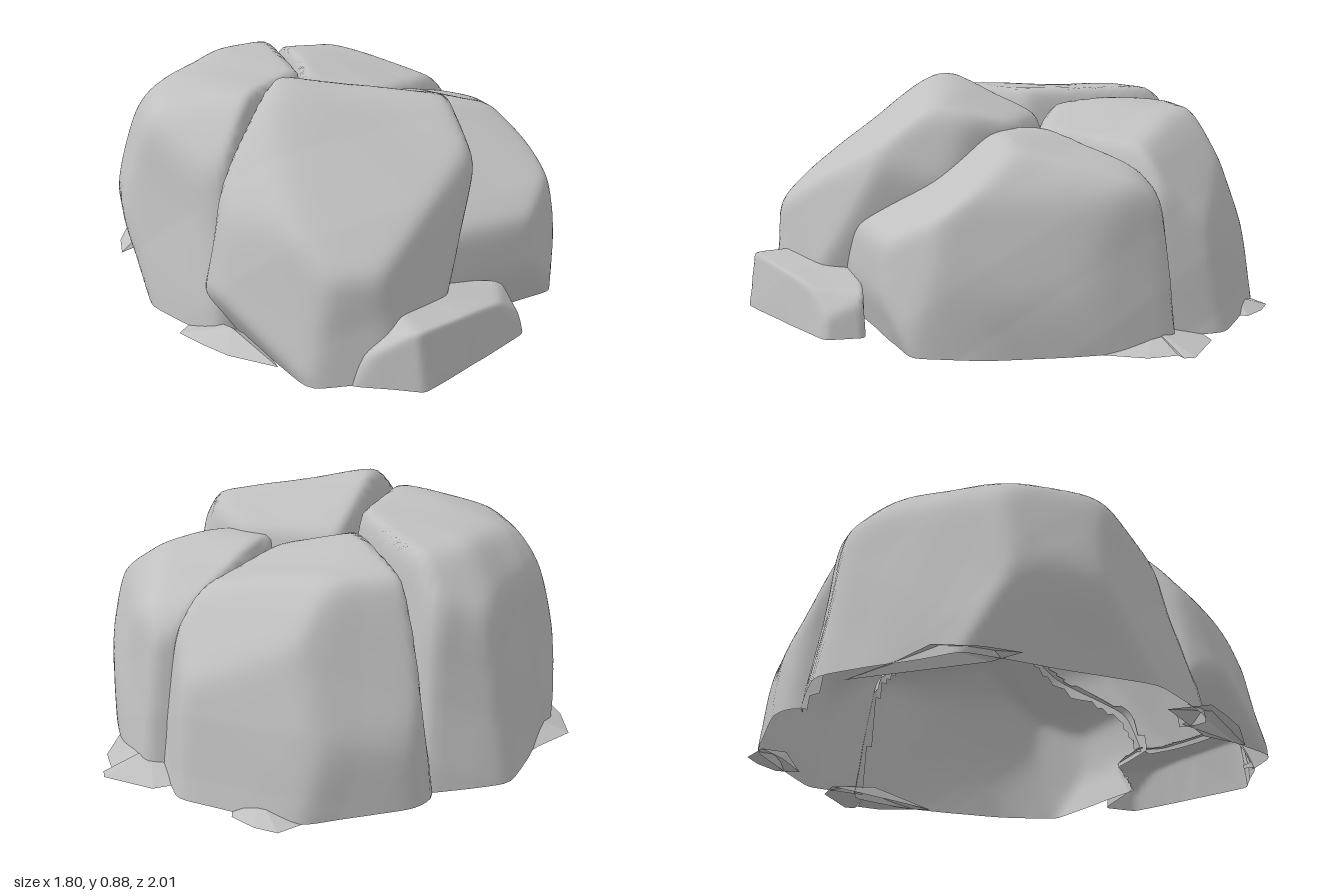
import * as THREE from 'three';

const SHARPNESS = 38; // higher gives crisper edges between the faces of a boulder

// Each face: a point on it (x, y, z), then the heading (0 = front, 90 = +x) and upward tilt in degrees.
const BOULDERS = {
  leftBoulder: { centre: [-0.5, -0.25], faces: [
    [-0.4, 0.82, -0.45, 0, 90], // top
    [-0.6, 0.795, -0.3, -90, 75],
    [-0.79, 0.7, -0.2, -90, 38],
    [-0.88, 0.39, -0.2, -90, 17],
    [-0.895, 0.27, -0.2, -90, 0],
    [-0.865, 0.15, -0.2, -88, -14],
    [-0.75, 0.25, 0.2, -56, 9],
    [-0.59, 0.3, 0.4, -20, 14],
    [-0.64, 0.68, 0.17, -38, 45],
    [-0.645, 0.3, -0.645, -132, 10],
    [-0.65, 0.65, -0.54, -130, 40],
    [-0.35, 0.3, -0.855, 180, 6],
    [-0.4, 0.72, -0.74, -168, 42],
    [-0.12, 0.5, -0.35, 92, 6],
    [-0.17, 0.5, -0.75, 108, 6],
    [-0.36, 0.45, 0.18, 50, 6],
  ] },
  backBoulder: { centre: [0.2, -0.5], faces: [
    [0.2, 0.76, -0.6, 55, 75], // top
    [0.1, 0.77, -0.7, 180, 82],
    [0.1, 0.5, -0.86, 180, 22],
    [0.1, 0.15, -0.965, 180, 3],
    [0.46, 0.22, -0.8, 146, 12],
    [0.44, 0.56, -0.65, 130, 40],
    [0.64, 0.3, -0.58, 95, 8],
    [-0.18, 0.3, -0.9, -145, 5],
    [-0.14, 0.5, -0.4, -88, 6],
    [-0.18, 0.5, -0.75, -100, 6],
    [0.43, 0.55, -0.3, 43, 15],
    [0, 0.62, -0.14, -20, 20],
  ] },
  frontBoulder: { centre: [-0.1, 0.35], faces: [
    [-0.2, 0.875, 0.17, 153, 68], // top
    [-0.1, 0.86, 0.25, 18, 78],
    [-0.1, 0.605, 0.6, 0, 52],
    [-0.15, 0.25, 0.9, -5, 5],
    [-0.45, 0.3, 0.7, -48, 12],
    [-0.44, 0.6, 0.52, -50, 40],
    [-0.48, 0.72, 0.25, -80, 45],
    [-0.605, 0.3, 0.44, -85, 8],
    [-0.57, 0.1, 0.47, -70, -30],
    [0.12, 0.3, 0.76, 35, 10],
    [0.4, 0.63, 0.25, 82, 16],
    [0.34, 0.38, 0.45, 72, -13],
    [-0.38, 0.55, 0.18, -130, 8],
    [-0.05, 0.6, -0.2, 180, 10],
    [0.1, 0.6, -0.12, 153, 10],
    [0.35, 0.6, 0.1, 113, 5],
  ] },
  rightBoulder: { centre: [0.48, 0.05], faces: [
    [0.4, 0.72, 0.05, 135, 74], // top
    [0.4, 0.72, 0.05, -60, 83],
    [0.69, 0.585, 0, 90, 40],
    [0.765, 0.4, 0, 88, 14],
    [0.815, 0.12, 0, 90, 0],
    [0.795, 0.1, 0.27, 75, 0],
    [0.45, 0.55, 0.3, 15, 54],
    [0.45, 0.25, 0.575, 14, 8],
    [0.5, 0.1, 0.55, 15, -18],
    [0.68, 0.28, 0.46, 48, 10],
    [0.68, 0.3, -0.48, 170, 6],
    [0.65, 0.58, -0.38, 160, 45],
    [0.78, 0.2, -0.3, 105, 8],
    [0.4, 0.4, -0.3, -137, 5],
    [0.15, 0.4, 0.2, -90, 5],
  ] },
  frontSlab: { centre: [0.17, 0.77], faces: [
    [0.1, 0.205, 0.8, 80, 82], // top
    [-0.08, 0.18, 0.85, -80, 55],
    [-0.1, 0.08, 0.958, -22, 4],
    [0.25, 0.08, 0.87, 31, 8],
    [0.43, 0.15, 0.7, 70, 45],
    [0.495, 0.08, 0.66, 90, 8],
    [0.3, 0.1, 0.58, 180, 0],
    [-0.02, 0.1, 0.75, -140, 5],
    [-0.2, 0.05, 0.88, -70, 22],
  ] },
};

// Thin flakes at ground level: outline as x, z pairs and a low peak.
const FLAKES = {
  rightFlake: { peak: [0.72, 0.05, -0.42], rim: [[0.62, -0.62], [0.74, -0.63], [0.9, -0.51], [0.9, -0.47], [0.87, -0.46], [0.88, -0.35], [0.8, -0.15], [0.74, -0.3]] },
  backFlake: { peak: [0.4, 0.05, -0.85], rim: [[0.34, -0.87], [0.25, -0.96], [0.37, -1], [0.44, -0.95], [0.5, -0.87], [0.48, -0.78]] },
  backLeftFlake: { peak: [-0.73, 0.06, -0.54], rim: [[-0.5, -0.8], [-0.7, -0.68], [-0.86, -0.61], [-0.9, -0.46], [-0.9, -0.33], [-0.8, -0.4]] },
  frontLeftFlake: { peak: [-0.55, 0.06, 0.53], rim: [[-0.64, 0.3], [-0.73, 0.42], [-0.66, 0.52], [-0.58, 0.62], [-0.42, 0.74], [-0.45, 0.55]] },
};

function makeBoulder({ centre: [cx, cz], faces }) {
  const centre = new THREE.Vector3(cx, 0, cz);
  const planes = faces.map(([x, y, z, heading, tilt]) => {
    const a = THREE.MathUtils.degToRad(heading), e = THREE.MathUtils.degToRad(tilt);
    const n = new THREE.Vector3(Math.sin(a) * Math.cos(e), Math.sin(e), Math.cos(a) * Math.cos(e));
    return n.divideScalar(n.dot(new THREE.Vector3(x, y, z).sub(centre)));
  });
  // Below 1 inside the boulder, above 1 outside it
  const reach = (v) => Math.pow(planes.reduce((s, n) => s + Math.pow(Math.max(0, n.dot(v)), SHARPNESS), 0), 1 / SHARPNESS);
  return { centre, reach, inside: (p, limit) => reach(p.clone().sub(centre)) < limit };
}

// Shallow chipped facets on the stone surface, from folded waves
const fold = (t) => Math.asin(Math.sin(t)) * 2 / Math.PI;
function chips({ x, y, z }) {
  return 0.005 * fold(7 * x + 4 * y - 3 * z + 2) + 0.005 * fold(6 * z - 7 * y + 2 * x + 1)
    + 0.003 * fold(13 * y + 8 * z - 5 * x) + 0.002 * fold(17 * x - 11 * z + 6 * y + 4);
}

function boulderGeometry(boulder, others) {
  const around = 128, rows = 48, points = [], index = [];
  for (let r = 0; r <= rows; r++) {
    const e = (r / rows) * Math.PI / 2;
    for (let i = 0; i < around; i++) {
      const a = (i / around) * Math.PI * 2;
      const d = new THREE.Vector3(Math.sin(a) * Math.cos(e), Math.sin(e), Math.cos(a) * Math.cos(e));
      d.multiplyScalar(1 / boulder.reach(d));
      d.multiplyScalar(1 + chips(d.clone().add(boulder.centre)) / d.length());
      points.push(d.add(boulder.centre));
    }
  }
  // Leave out faces buried in a neighbouring boulder
  const buried = points.map((p) => others.some((o) => o.inside(p, 0.975)));
  const addFace = (a, b, c) => {
    if (!(buried[a] && buried[b] && buried[c])) index.push(a, b, c);
  };
  for (let r = 0; r < rows; r++) {
    for (let i = 0; i < around; i++) {
      const j = (i + 1) % around, a = r * around + i, b = r * around + j;
      addFace(a, b, b + around);
      if (r < rows - 1) addFace(a, b + around, a + around);
    }
  }
  const geometry = new THREE.BufferGeometry().setFromPoints(points);
  geometry.setIndex(index);
  geometry.computeVertexNormals();
  return geometry;
}

function flakeGeometry({ peak, rim }) {
  const points = [];
  rim.forEach(([x, z], i) => {
    const [nx, nz] = rim[(i + 1) % rim.length];
    points.push(new THREE.Vector3(...peak), new THREE.Vector3(x, 0, z), new THREE.Vector3(nx, 0, nz));
  });
  // Wind every face so that it looks upward
  for (let i = 0; i < points.length; i += 3) {
    const [a, b, c] = points.slice(i, i + 3);
    if (b.clone().sub(a).cross(c.clone().sub(a)).y < 0) [points[i + 1], points[i + 2]] = [c, b];
  }
  const geometry = new THREE.BufferGeometry().setFromPoints(points);
  geometry.computeVertexNormals();
  return geometry;
}

export function createModel() {
  const group = new THREE.Group();
  group.name = 'rockCluster';
  const stone = new THREE.MeshStandardMaterial({ color: 0xc0c0c0, side: THREE.DoubleSide });
  stone.name = 'grey stone';
  const add = (name, geometry) => {
    const mesh = new THREE.Mesh(geometry, stone);
    mesh.name = name;
    group.add(mesh);
  };

  // Boulders, open underneath
  const boulders = Object.entries(BOULDERS).map(([name, spec]) => ({ name, ...makeBoulder(spec) }));
  boulders.forEach((b) => add(b.name, boulderGeometry(b, boulders.filter((o) => o !== b))));

  // Flakes around the base
  Object.entries(FLAKES).forEach(([name, spec]) => add(name, flakeGeometry(spec)));
  return group;
}
